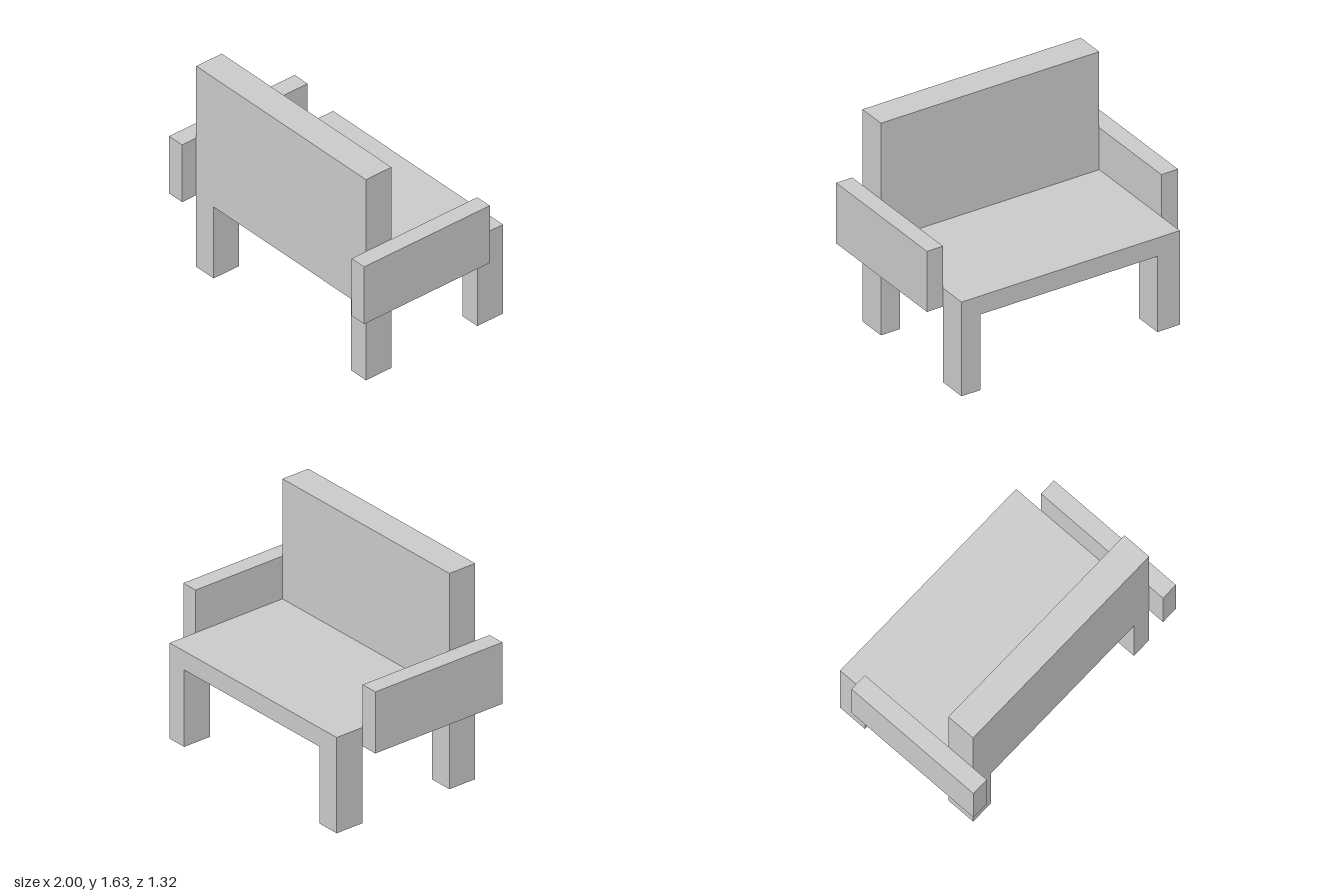
import * as THREE from 'three';

export function createModel() {
  const model = new THREE.Group();
  const material = new THREE.MeshStandardMaterial({ color: 0xcccccc, flatShading: true });

  // Box given by its lower and upper limits on each axis
  function addBox(name, [x0, x1], [y0, y1], [z0, z1]) {
    const mesh = new THREE.Mesh(new THREE.BoxGeometry(x1 - x0, y1 - y0, z1 - z0), material);
    mesh.position.set((x0 + x1) / 2, (y0 + y1) / 2, (z0 + z1) / 2);
    mesh.name = name;
    model.add(mesh);
  }

  const xMin = -0.867, xMax = 0.872;
  const under = 0.58, seatTop = 0.722, backTop = 1.627;
  const backDepth = [0.314, 0.537], openDepth = [-0.661, -0.437];

  // Seat and backrest: one L-shaped profile (z, y) run across the width
  const profile = new THREE.Shape([
    [openDepth[0], under], [backDepth[1], under], [backDepth[1], backTop],
    [backDepth[0], backTop], [backDepth[0], seatTop], [openDepth[0], seatTop],
  ].map(([z, y]) => new THREE.Vector2(z, y)));
  const seatGeometry = new THREE.ExtrudeGeometry(profile, { depth: xMax - xMin, bevelEnabled: false });
  seatGeometry.rotateY(-Math.PI / 2).translate(xMax, 0, 0);
  const seat = new THREE.Mesh(seatGeometry, material);
  seat.name = 'seatAndBackrest';
  model.add(seat);

  // Four legs, the pair at -x slightly wider
  for (const [end, depth] of [['backrest', backDepth], ['seatEdge', openDepth]]) {
    addBox(end + 'RightLeg', [xMin, -0.688], [0, under], depth);
    addBox(end + 'LeftLeg', [0.721, xMax], [0, under], depth);
  }

  // Armrests reaching past the backrest
  const armDepth = [openDepth[1], 0.661];
  addBox('rightArmrest', [-1, xMin], [under, 1.044], armDepth);
  addBox('leftArmrest', [xMax, 1], [under, 1.044], armDepth);

  return model;
}
